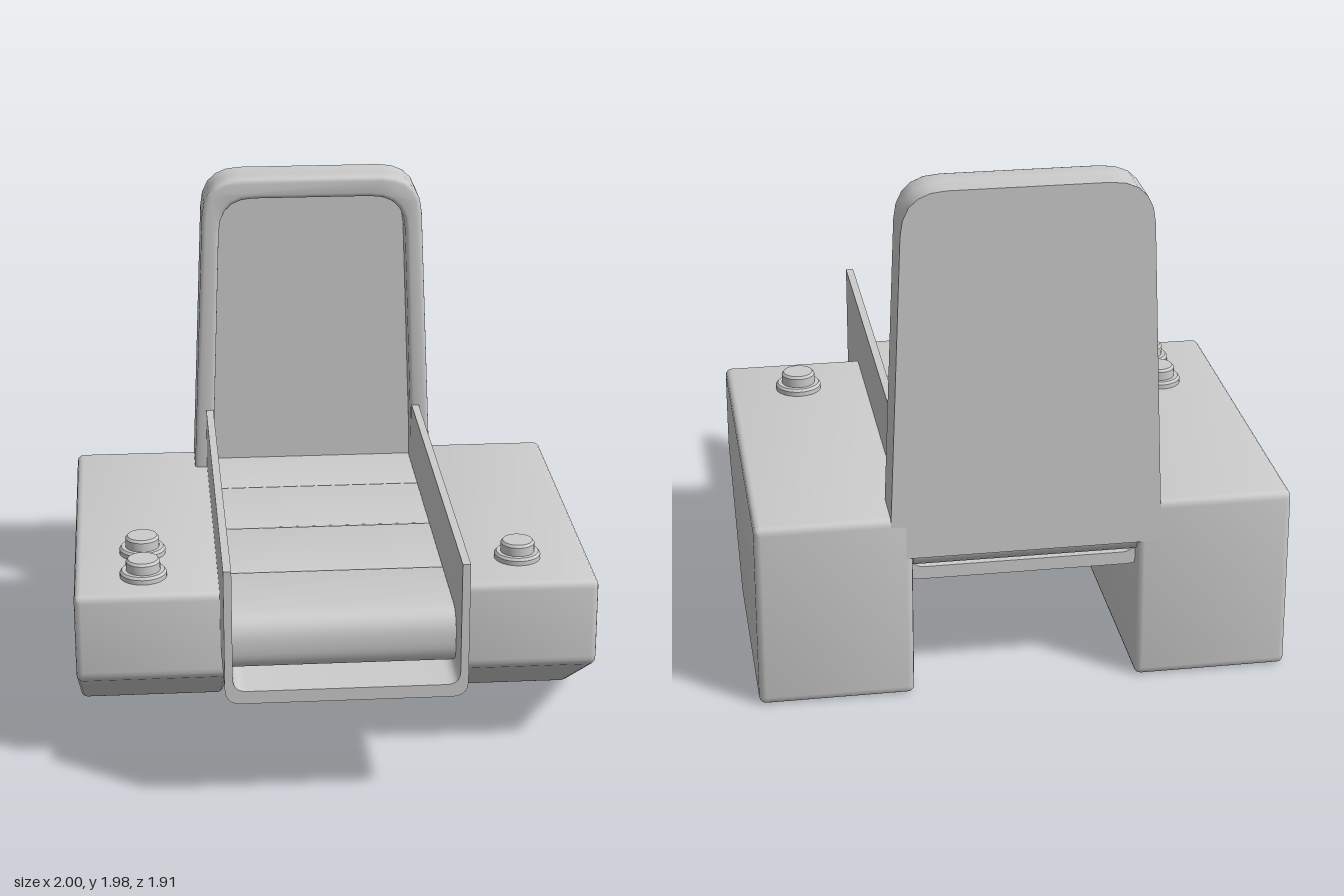
import * as THREE from 'three';
import { toCreasedNormals } from 'three/addons/utils/BufferGeometryUtils.js';

const material = new THREE.MeshStandardMaterial({ color: 0xcccccc });

// Closed outline from [x, y, cornerRadius] points
function roundedShape(points) {
  const shape = new THREE.Shape();
  const n = points.length;
  points.forEach(([x, y, r = 0], i) => {
    const p = new THREE.Vector2(x, y);
    const toward = ([qx, qy]) => new THREE.Vector2(qx, qy).sub(p).setLength(r).add(p);
    const a = r ? toward(points[(i + n - 1) % n]) : p;
    const b = r ? toward(points[(i + 1) % n]) : p;
    if (i === 0) shape.moveTo(a.x, a.y);
    else shape.lineTo(a.x, a.y);
    if (r) shape.quadraticCurveTo(p.x, p.y, b.x, b.y);
  });
  shape.closePath();
  return shape;
}

// Extrusion from z = 0 to z = depth, bevel kept inside the outline
function extrude(points, depth, bevel = 0, curveSegments = 5) {
  const geometry = new THREE.ExtrudeGeometry(roundedShape(points), {
    depth: depth - 2 * bevel, curveSegments,
    bevelEnabled: bevel > 0, bevelThickness: bevel, bevelSize: bevel,
    bevelOffset: -bevel, bevelSegments: 3,
  });
  geometry.translate(0, 0, bevel);
  return toCreasedNormals(geometry, 0.62);
}

// Side profile in (z, y), extruded across x and centred on x = 0
function extrudeAcross(points, width, bevel, segments) {
  return extrude(points, width, bevel, segments).rotateY(-Math.PI / 2).translate(width / 2, 0, 0);
}

// Mirror half an outline (running bottom to top on +x) onto -x
const mirrored = (half) => [...half, ...half.map(([x, y, r]) => [-x, y, r]).reverse()];

export function createModel() {
  const model = new THREE.Group();
  const add = (name, geometry, x = 0, y = 0, z = 0, parent = model) => {
    const mesh = new THREE.Mesh(geometry, material);
    mesh.name = name;
    mesh.position.set(x, y, z);
    parent.add(mesh);
    return mesh;
  };

  // Side consoles with sloping undersides
  const consoleProfile = [
    [-0.955, 0, 0.03], [-0.06, 0, 0.03], [0.57, 0.38, 0.03], [0.57, 0.725, 0.03], [-0.955, 0.725, 0.03],
  ];
  const consoleGeometry = extrudeAcross(consoleProfile, 0.58, 0.025, 4);
  add('leftConsole', consoleGeometry, 0.71);
  add('rightConsole', consoleGeometry, -0.71);

  // Stepped round buttons on the consoles
  const buttonGeometry = toCreasedNormals(new THREE.LatheGeometry([
    [0, 0], [0.09, 0], [0.09, 0.02], [0.082, 0.03], [0.066, 0.03], [0.066, 0.065], [0.058, 0.075], [0, 0.075],
  ].map(([x, y]) => new THREE.Vector2(x, y)), 32), 0.6);
  [[-0.735, 0.15], [-0.735, 0.38], [0.72, 0.31]].forEach(([x, z], i) =>
    add(`button${i + 1}`, buttonGeometry, x, 0.723, z));

  // U-shaped tray that holds the seat
  const tray = [
    [0.45, 0.98], [0.42, 0.98], [0.42, 0.5, 0.05], [-0.42, 0.5, 0.05],
    [-0.42, 0.98], [-0.45, 0.98], [-0.45, 0.45, 0.06], [0.45, 0.45, 0.06],
  ];
  add('seatTray', extrude(tray, 1.855), 0, 0, -0.9);

  // Four seat cushions; the two end ones have fully rounded ends
  const length = 0.4425;
  for (let i = 0; i < 4; i++) {
    const z0 = -0.95 + i * length, z1 = z0 + length;
    const back = i === 0 ? 0.1 : 0.012, front = i === 3 ? 0.1 : 0.012;
    add(`cushion${i + 1}`, extrudeAcross([
      [z0, 0.505, back], [z1, 0.505, front], [z1, 0.725, front], [z0, 0.725, back],
    ], 0.838, 0, 8));
  }

  // Tapered backrest: flat rear slab plus a raised arch frame in front
  const backrest = new THREE.Group();
  backrest.name = 'backrest';
  model.add(backrest);
  const outer = [[0.507, 0.565], [0.447, 1.977, 0.16]];
  const inner = [[0.43, 0.565], [0.38, 1.892, 0.14]];
  const arch = [
    ...mirrored(outer),
    [-inner[0][0], inner[0][1]], [-inner[1][0], inner[1][1], inner[1][2]],
    inner[1], inner[0],
  ];
  add('backrestSlab', extrude(mirrored(outer), 0.105), 0, 0, -0.955, backrest);
  add('backrestFrame', extrude(arch, 0.13, 0.018), 0, 0, -0.88, backrest);

  return model;
}
